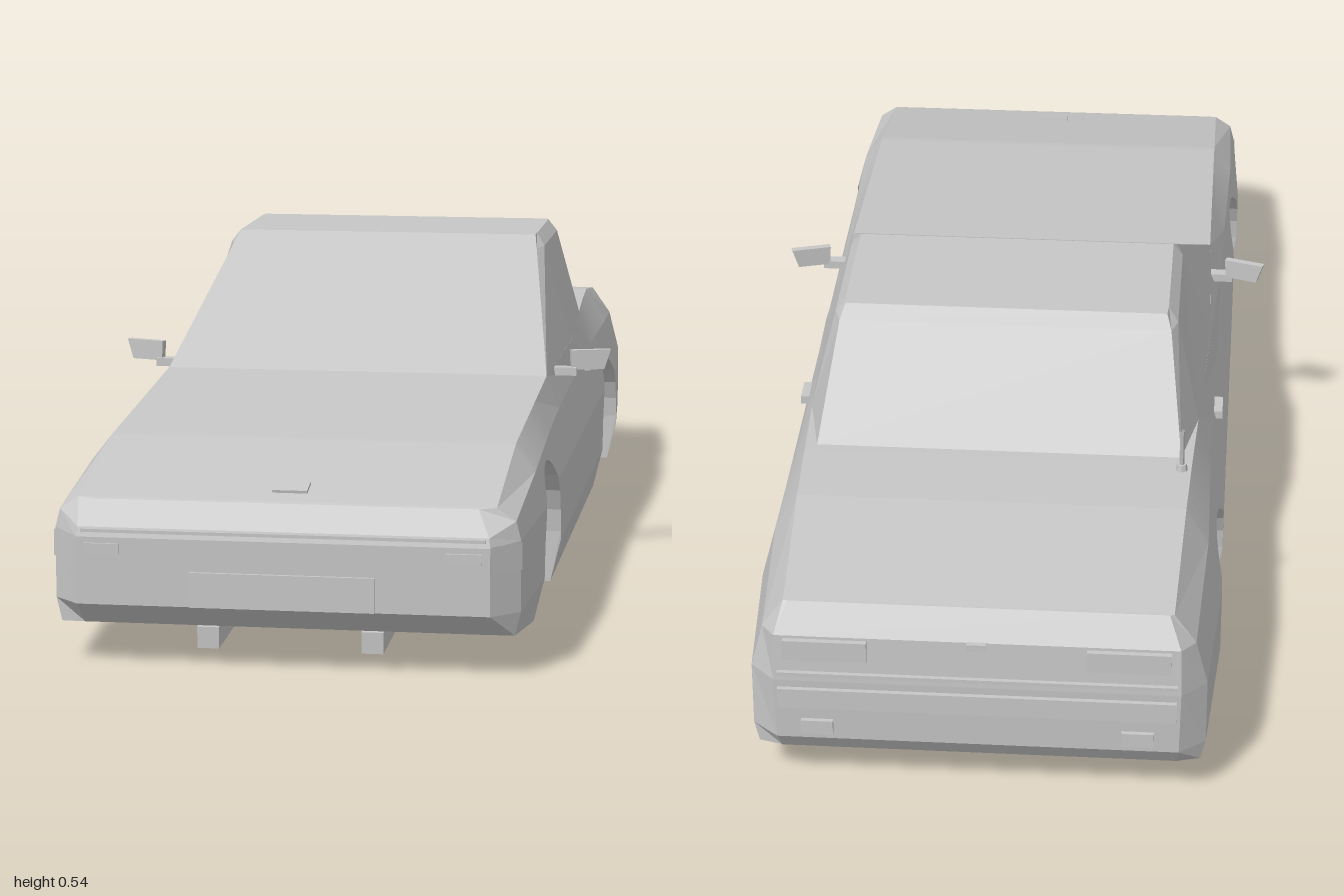
import * as THREE from 'three';

const paint = new THREE.MeshStandardMaterial({ color: 0xc6c6c6, flatShading: true, side: THREE.DoubleSide });
paint.name = 'plain grey';

// Piecewise linear lookup in a list of [t, value]
function lookup(table, t) {
  if (t <= table[0][0]) return table[0][1];
  for (let i = 1; i < table.length; i++) {
    const [a, va] = table[i - 1], [b, vb] = table[i];
    if (t <= b) return va + (vb - va) * (t - a) / (b - a);
  }
  return table[table.length - 1][1];
}

// Flat-shaded surface through a list of equally long point rows
function loft(rows) {
  const pos = [];
  for (let i = 0; i < rows.length - 1; i++) {
    for (let j = 0; j < rows[i].length - 1; j++) {
      const a = rows[i][j], b = rows[i][j + 1], c = rows[i + 1][j + 1], d = rows[i + 1][j];
      pos.push(...a, ...b, ...c, ...a, ...c, ...d);
    }
  }
  const g = new THREE.BufferGeometry();
  g.setAttribute('position', new THREE.Float32BufferAttribute(pos, 3));
  g.computeVertexNormals();
  return g;
}

const flip = ([x, y, z]) => [-x, y, z];
const withMirror = (half) => [...half, ...half.slice().reverse().map(flip)];

export function createModel() {
  const model = new THREE.Group();
  model.name = 'car body';

  const add = (name, geometry, parent = model) => {
    const m = new THREE.Mesh(geometry, paint);
    m.name = name;
    parent.add(m);
    return m;
  };
  const box = (name, w, h, d, x, y, z, parent) => {
    const m = add(name, new THREE.BoxGeometry(w, h, d), parent);
    m.position.set(x, y, z);
    return m;
  };
  const rod = (name, points, r, sides = 6) => {
    const path = new THREE.CurvePath();
    const p = points.map((q) => new THREE.Vector3(...q));
    for (let i = 1; i < p.length; i++) path.add(new THREE.LineCurve3(p[i - 1], p[i]));
    return add(name, new THREE.TubeGeometry(path, (p.length - 1) * 3, r, sides, false));
  };

  // Body outline along the length
  const beltY = [[-0.95, 0.333], [-0.7, 0.365], [-0.54, 0.365], [0.24, 0.345], [0.7, 0.312], [0.95, 0.259]];
  const beltX = [[-0.95, 0.302], [-0.54, 0.317], [-0.1, 0.336], [0.24, 0.326], [0.95, 0.322]];
  const sillY = [[-0.95, 0.066], [-0.69, 0.03], [0.71, 0.03], [0.95, 0.063]];
  const widthZ = [[-0.95, 0.955], [-0.7, 1], [-0.41, 0.992], [0.41, 0.992], [0.7, 1], [0.95, 0.965]];
  const widthY = [[0.03, 0.355], [0.1, 0.372], [0.21, 0.372], [0.3, 0.348]];
  const arches = [{ z: -0.555, r: 0.14 }, { z: 0.565, r: 0.145 }];

  const station = (z, bottom) => {
    const top = lookup(beltY, z), w = lookup(widthZ, z);
    const levels = [bottom, 0.1, 0.21, 0.21 + 0.6 * (top - 0.21)];
    const side = levels.map((l) => {
      const y = Math.max(l, bottom);
      return [lookup(widthY, y) * w, y, z];
    });
    return withMirror([[0.285, bottom, z], ...side, [lookup(beltX, z), top, z]]);
  };

  // Stations from tail to nose; arches rise from the sill along a half circle
  const rearEnd = [[0.26, 0.07, -0.93], [0.31, 0.067, -0.962], [0.314, 0.1, -0.985],
    [0.316, 0.21, -0.99], [0.314, 0.29, -0.985], [0.295, 0.333, -0.952]];
  const frontEnd = [[0.26, 0.068, 0.93], [0.312, 0.065, 0.96], [0.317, 0.1, 0.992],
    [0.317, 0.205, 0.994], [0.315, 0.22, 0.99], [0.295, 0.257, 0.955]];
  const plain = (z) => station(z, lookup(sillY, z));
  const arch = ({ z, r }) => {
    const list = [plain(z - r - 0.001)];
    for (let i = 0; i <= 12; i++) {
      const a = Math.PI * (1 - i / 12);
      list.push(station(z + r * Math.cos(a), 0.115 + r * Math.sin(a)));
    }
    return [...list, plain(z + r + 0.001)];
  };
  add('body shell', loft([withMirror(rearEnd), plain(-0.95), ...arch(arches[0]),
    ...[-0.3, -0.1, 0.24].map(plain), ...arch(arches[1]), plain(0.95), withMirror(frontEnd)]));
  add('rear bumper face', loft(rearEnd.map((p) => [p, flip(p)])));
  add('front bumper face', loft(frontEnd.map((p) => [flip(p), p])));

  // Cabin: three rings rising from belt to roof, plus the roof panel
  const rings = [
    [[0.326, 0.345, 0.24], [0.336, 0.353, -0.1], [0.323, 0.361, -0.41], [0.298, 0.365, -0.54]],
    [[0.274, 0.52, -0.092], [0.284, 0.52, -0.13], [0.284, 0.52, -0.365], [0.274, 0.52, -0.397]],
    [[0.268, 0.54, -0.13], [0.268, 0.54, -0.16], [0.268, 0.54, -0.35], [0.266, 0.54, -0.375]],
  ].map((r) => withMirror(r)).map((r) => [...r, r[0]]);
  add('cabin', loft(rings));
  add('roof', loft(rings[2].slice(0, 4).map((p) => [p, flip(p)])));

  // Front details
  box('front number plate', 0.284, 0.054, 0.008, 0, 0.128, 0.995);
  box('front trim strip', 0.62, 0.005, 0.008, 0, 0.215, 0.991);
  const latch = box('hood plate', 0.054, 0.006, 0.035, 0, 0.271, 0.9);
  latch.rotation.x = 0.21;

  // Rear details
  box('rear bumper strip', 0.62, 0.035, 0.01, 0, 0.18, -0.992);
  box('rear trim strip', 0.62, 0.006, 0.01, 0, 0.225, -0.991);
  box('trunk lock', 0.03, 0.012, 0.01, 0, 0.285, -0.988);

  for (const s of [-1, 1]) {
    // Lamps
    box('front lamp', 0.054, 0.016, 0.008, s * 0.277, 0.188, 0.994);
    box('tail lamp', 0.13, 0.035, 0.01, s * 0.235, 0.268, -0.989);
    box('rear reflector', 0.05, 0.025, 0.012, s * 0.25, 0.125, -0.988);
    add('side lamp', loft([0.166, 0.208].map((y) => [[s * 0.319, y, 0.996], [s * 0.361, y, 0.953]])));

    // Door mirror and handle
    const mirror = new THREE.Group();
    mirror.name = 'door mirror';
    model.add(mirror);
    const blade = new THREE.Shape([[-0.035, 0.374], [0.035, 0.374], [0.024, 0.34], [-0.033, 0.34]]
      .map(([x, y]) => new THREE.Vector2(s * x, y)));
    const head = add('mirror head', new THREE.ExtrudeGeometry(blade, { depth: 0.012, bevelEnabled: false }), mirror);
    head.position.set(s * 0.388, 0, 0.118);
    head.rotation.y = s * 0.3;
    box('mirror stem', 0.042, 0.014, 0.02, s * 0.347, 0.338, 0.137, mirror);
    box('door handle', 0.018, 0.014, 0.05, s * 0.352, 0.288, -0.245);

    // Hubs and wishbones at both axles
    for (const { z } of arches) {
      const hub = add('wheel hub', new THREE.CylinderGeometry(0.064, 0.064, 0.02, 8));
      hub.rotation.set(Math.PI / 8, 0, Math.PI / 2);
      hub.position.set(s * 0.272, 0.1, z);
      box('hub centre', 0.02, 0.04, 0.04, s * 0.288, 0.1, z);
      box('hub carrier', 0.03, 0.06, 0.045, s * 0.25, 0.17, z);
      for (const e of [-1, 1]) {
        rod('lower arm', [[s * 0.265, 0.075, z], [s * 0.11, 0.075, z + e * 0.12]], 0.009);
        rod('upper arm', [[s * 0.255, 0.155, z], [s * 0.13, 0.16, z + e * 0.08]], 0.009);
        rod('inner brace', [[s * 0.19, 0.158, z], [s * 0.19, 0.158, z + e * 0.08], [s * 0.19, 0.14, z + e * 0.105],
          [s * 0.17, 0.05, z + e * 0.145]], 0.009);
      }
    }

    // Long chassis rails and sill inner walls
    box('front rail', 0.034, 0.034, 0.62, s * 0.128, 0.05, 0.61).rotation.x = 0.045;
    rod('middle rail', [[s * 0.128, 0.048, 0.33], [s * 0.17, 0.048, 0.22], [s * 0.17, 0.048, -0.38],
      [s * 0.14, 0.08, -0.55], [s * 0.14, 0.08, -0.92]], 0.018, 4);
    box('upper rail', 0.02, 0.015, 0.28, s * 0.19, 0.212, 0.565);
    add('inner sill', loft([0.415, -0.41].map((z) => [[s * 0.285, 0.03, z], [s * 0.265, 0.076, z]])));
    add('trunk side wall', loft([-0.41, -0.7].map((z) => [[s * 0.26, 0.212, z], [s * 0.33, 0.268, z]])));

    // Raised floor ribs
    for (let i = 0; i < 7; i++) {
      box('floor rib', 0.07, 0.012, 0.018, s * 0.23, 0.068, -0.02 - i * 0.05);
    }
  }

  // Floor panels and engine pan
  box('floor', 0.6, 0.006, 0.82, 0, 0.076, 0);
  box('trunk floor', 0.56, 0.006, 0.53, 0, 0.212, -0.685);
  box('front bulkhead', 0.6, 0.25, 0.006, 0, 0.2, 0.405);
  box('rear bulkhead', 0.6, 0.14, 0.006, 0, 0.145, -0.405);
  add('engine pan', loft([[0.11, 0.07, 0.6], [0.07, 0.032, 0.42], [0.07, 0.036, 0.26], [0.08, 0.072, -0.05]]
    .map(([x, y, z]) => [[-0.11, 0.075, z], [-x, y, z], [x, y, z], [0.11, 0.075, z]])));

  // Cross members
  for (const z of [0.88, 0.8, 0.72, 0.44, 0.24, -0.1, -0.4, -0.68, -0.84]) {
    box('cross member', Math.abs(z) < 0.42 ? 0.54 : 0.34, 0.014, 0.022, 0, 0.072, z);
  }
  for (const z of [0.48, 0.56, 0.64]) box('engine bay bar', 0.38, 0.012, 0.015, 0, 0.21, z);
  rod('rear axle', [[-0.26, 0.1, -0.555], [0.26, 0.1, -0.555]], 0.014);
  box('differential', 0.09, 0.07, 0.1, 0, 0.1, -0.555);

  // Exhaust
  rod('exhaust pipe', [[-0.1, 0.05, 0.4], [-0.225, 0.022, 0.24], [-0.225, 0.022, 0.1], [-0.11, 0.022, -0.1],
    [-0.11, 0.022, -0.42], [-0.16, 0.085, -0.6], [-0.16, 0.085, -0.9]], 0.012);
  box('exhaust box', 0.07, 0.028, 0.14, -0.107, 0.014, -0.25);

  // Antenna
  rod('antenna', [[-0.3, 0.36, -0.575], [-0.3, 0.445, -0.588]], 0.004);
  const base = add('antenna base', new THREE.CylinderGeometry(0.008, 0.01, 0.012, 8));
  base.position.set(-0.3, 0.37, -0.576);

  return model;
}
